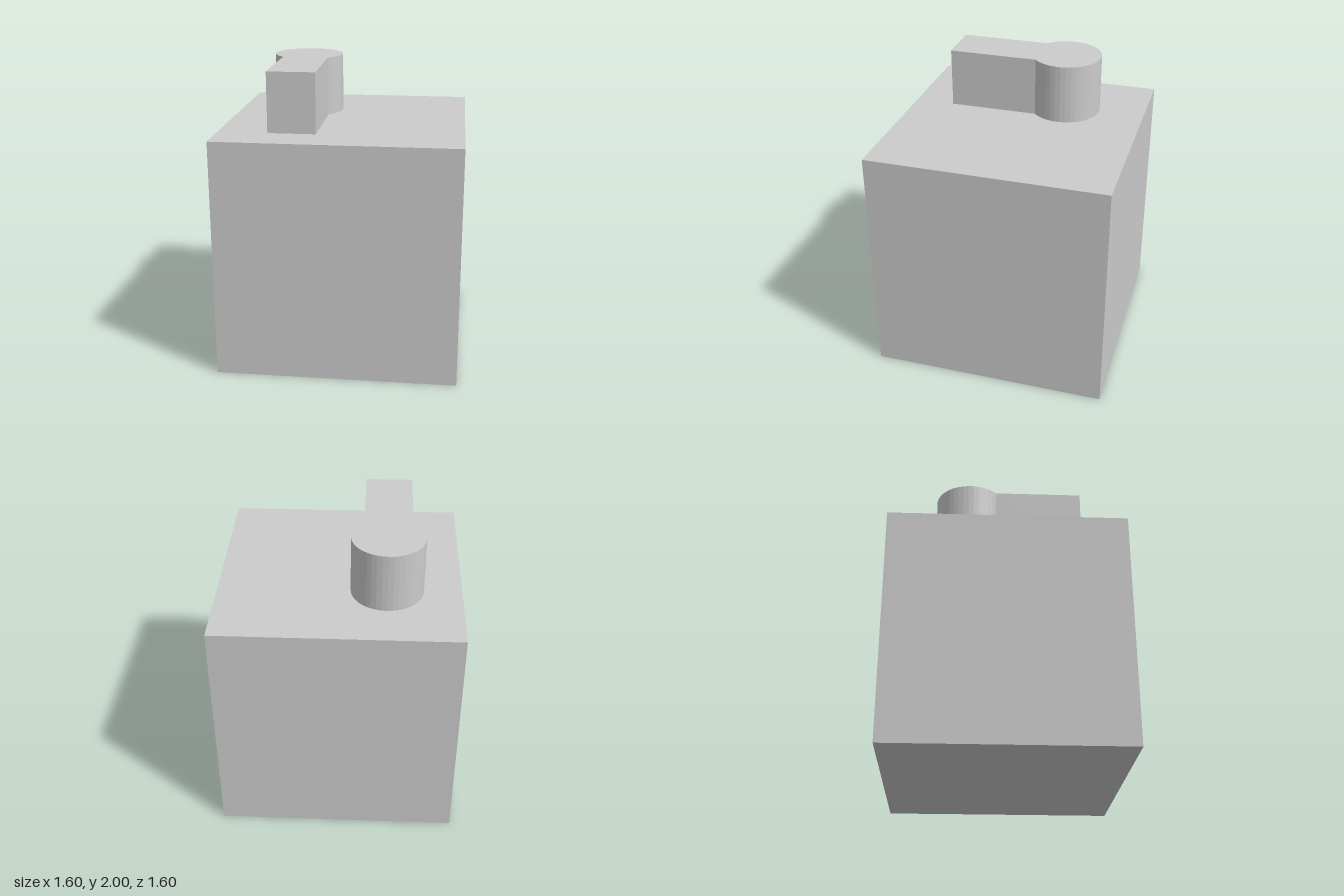
import * as THREE from 'three';

export function createModel() {
  const model = new THREE.Group();
  const material = new THREE.MeshStandardMaterial({ color: 0xcccccc, flatShading: true });

  const add = (name, geometry) => {
    const mesh = new THREE.Mesh(geometry, material);
    mesh.name = name;
    model.add(mesh);
  };

  // Cube body
  add('body', new THREE.BoxGeometry(1.6, 1.6, 1.6).translate(0, 0.8, 0));

  // Keyhole-shaped raised block: round head at the back, straight stem to the front
  const cx = -0.312, cz = -0.25, radius = 0.239, halfStem = 0.158, stemFront = 0.53;
  const joint = Math.acos(halfStem / radius);
  const outline = new THREE.Shape();
  outline.moveTo(cx - halfStem, -stemFront);
  outline.lineTo(cx + halfStem, -stemFront);
  outline.absarc(cx, -cz, radius, -joint, Math.PI + joint, false);
  outline.closePath();
  const keyhole = new THREE.ExtrudeGeometry(outline, { depth: 0.4, bevelEnabled: false, curveSegments: 16 });
  add('keyholeBlock', keyhole.rotateX(-Math.PI / 2).translate(0, 1.6, 0));

  return model;
}
